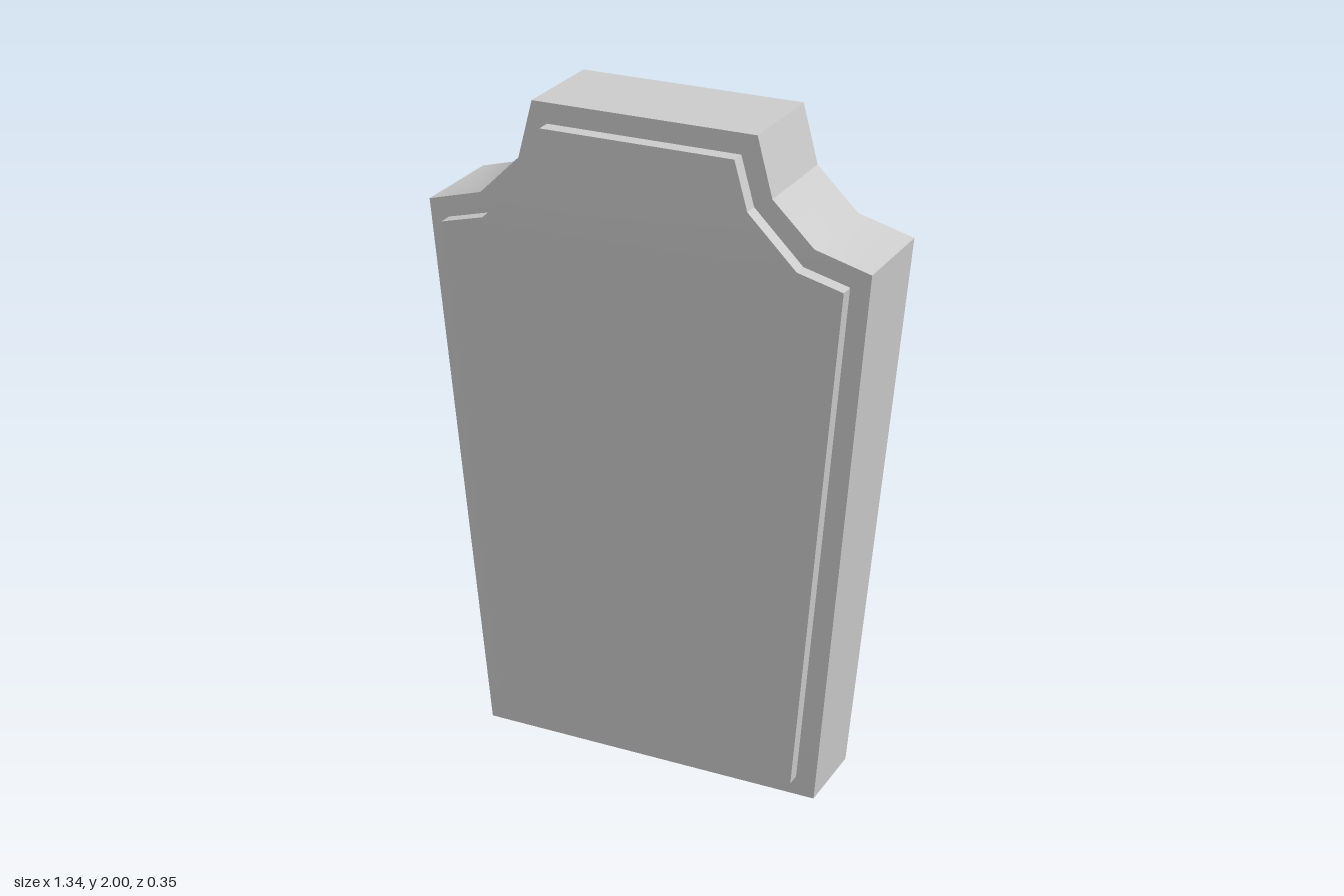
import * as THREE from 'three';
import { toCreasedNormals } from 'three/addons/utils/BufferGeometryUtils.js';

// Loft of horizontal rectangles; each row is [y, half width, front z, back z]
function loft(rows, crease) {
  const pos = [];
  const index = [];
  for (const [y, w, front, back] of rows) {
    pos.push(-w, y, front, w, y, front, w, y, back, -w, y, back);
  }
  for (let r = 0; r < rows.length - 1; r++) {
    for (let i = 0; i < 4; i++) {
      const a = r * 4 + i;
      const b = r * 4 + ((i + 1) % 4);
      index.push(a, b, b + 4, a, b + 4, a + 4);
    }
  }
  // Bottom and top caps
  const t = (rows.length - 1) * 4;
  index.push(0, 2, 1, 0, 3, 2, t, t + 1, t + 2, t, t + 2, t + 3);
  const geometry = new THREE.BufferGeometry();
  geometry.setAttribute('position', new THREE.Float32BufferAttribute(pos, 3));
  geometry.setIndex(index);
  return toCreasedNormals(geometry, crease);
}

export function createModel() {
  const group = new THREE.Group();
  group.name = 'slab';
  const material = new THREE.MeshStandardMaterial({ color: 0xcccccc });

  const add = (name, rows, crease) => {
    const mesh = new THREE.Mesh(loft(rows, crease), material);
    mesh.name = name;
    group.add(mesh);
  };

  // Body: widens and thickens up to the shoulders, then steps in to the head
  add('body', [
    [0, 0.532, 0.102, -0.14],
    [1.665, 0.668, 0.13, -0.174],
    [1.71, 0.503, 0.13, -0.174],
    [1.83, 0.38, 0.13, -0.174],
    [2, 0.335, 0.13, -0.174],
  ], Math.PI / 6);

  // Raised panel on the front, its back sunk just inside the body
  add('frontPanel', [
    [0.06, 0.476, 0.145, 0.09],
    [1.62, 0.607, 0.173, 0.12],
    [1.655, 0.473, 0.174, 0.12],
    [1.8, 0.328, 0.174, 0.12],
    [1.94, 0.289, 0.174, 0.12],
  ], 0.35);

  return group;
}
